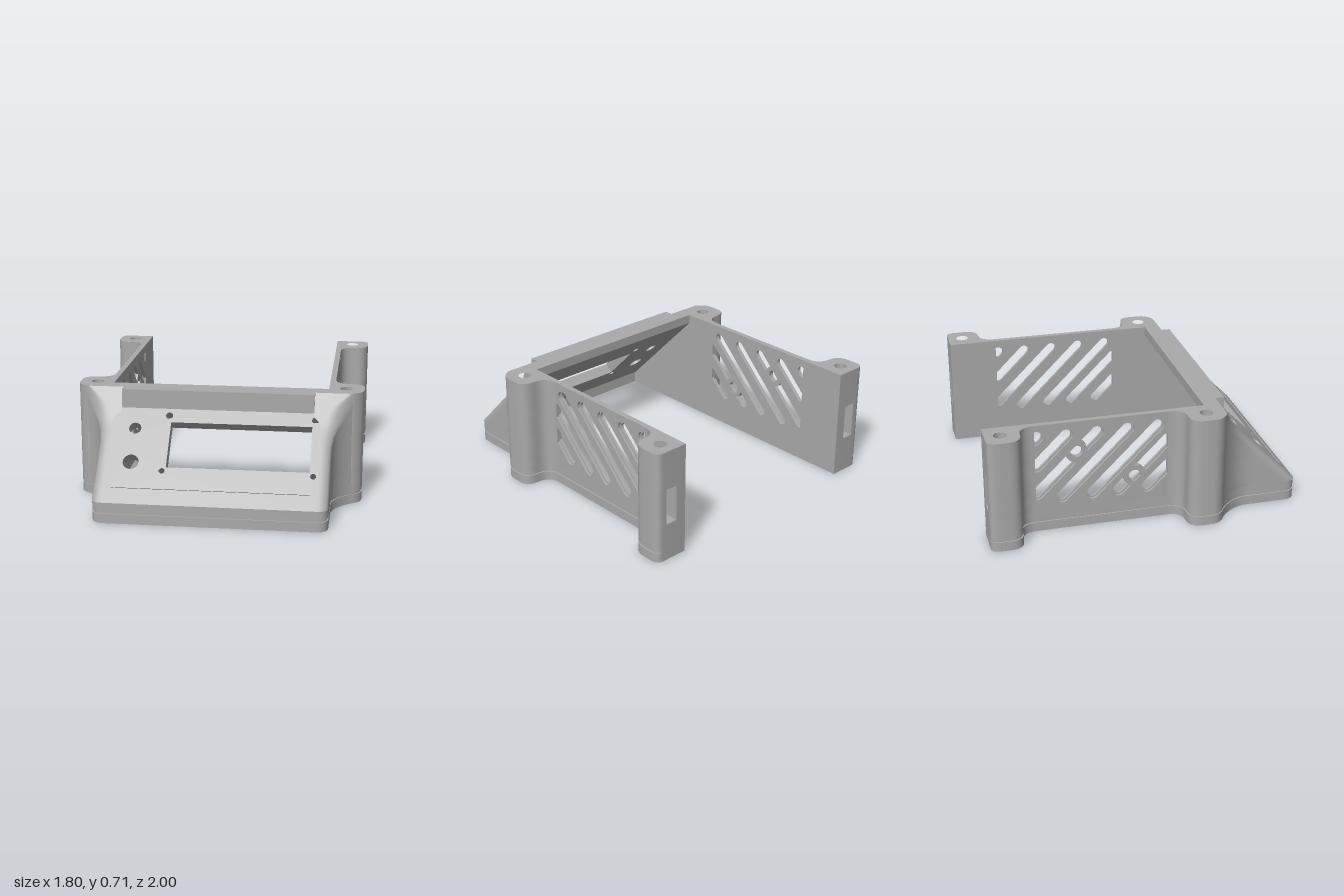
import * as THREE from 'three';
import { toCreasedNormals } from 'three/addons/utils/BufferGeometryUtils.js';

const H = 0.715, WALL_IN = 0.68, WALL_OUT = 0.715, Y0 = 0.13;
const V = (x, y) => new THREE.Vector2(x, y);

export function createModel() {
  const group = new THREE.Group();
  group.name = 'enclosureFrame';
  const grey = new THREE.MeshStandardMaterial({ color: 0xaaaaaa });
  grey.name = 'grey plastic';

  const add = (name, geo) => {
    const mesh = new THREE.Mesh(toCreasedNormals(geo, 0.6), grey);
    mesh.name = name;
    group.add(mesh);
    return mesh;
  };
  const extrude = (shape, depth) =>
    new THREE.ExtrudeGeometry(shape, { depth, bevelEnabled: false, curveSegments: 14 });
  const circle = (x, y, r) => new THREE.Path().absarc(x, y, r, 0, Math.PI * 2, true);
  // plan shape (x, z) raised from y0 to y1
  const raise = (name, shape, y0, y1) =>
    add(name, extrude(shape, y1 - y0).rotateX(Math.PI / 2).translate(0, y1, 0));
  // side shape (-z, y) extruded from x0 to x1
  const across = (name, shape, x0, x1) =>
    add(name, extrude(shape, x1 - x0).rotateY(Math.PI / 2).translate(x0, 0, 0));
  const sideShape = (zy) => new THREE.Shape(zy.map(([z, y]) => V(-z, y)));

  // half width of the flared housing, and its front edge at each height
  const flare = (z) => WALL_OUT + (z < 0.68 ? 0.115 * ((0.68 - z) / 0.205) ** 2.2 : 0);
  const frontZ = (y) => (y < 0.55 ? 1.13 - y : 0.58 - (y - 0.55) * 0.63);

  // outlines of the two corner posts; d insets the outer edge
  const frontPost = (p, d) => {
    p.quadraticCurveTo(0.9 - d, 0.44, 0.9 - d, 0.38);
    p.lineTo(0.9 - d, 0.32);
    p.quadraticCurveTo(0.9 - d, 0.235 + d, 0.81, 0.235 + d);
    p.quadraticCurveTo(WALL_OUT - d, 0.235 + d, WALL_OUT - d, 0.14);
  };
  const rearPost = (p, d, notch) => {
    p.lineTo(WALL_OUT - d, -0.69);
    p.quadraticCurveTo(WALL_OUT - d, -0.79 - d, 0.81, -0.79 - d);
    p.quadraticCurveTo(0.9 - d, -0.79 - d, 0.9 - d, -0.88);
    p.lineTo(0.9 - d, -0.94);
    p.quadraticCurveTo(0.9 - d, -1, 0.855, -1);
    if (notch) {
      p.lineTo(0.83, -1); p.lineTo(0.83, -0.9);
      p.lineTo(0.75, -0.9); p.lineTo(0.75, -1);
    }
    p.lineTo(WALL_IN, -1);
  };
  const postHoles = [[0.79, 0.355], [0.79, -0.905]];

  // U-shaped base with a groove running round it
  const basePlan = (d) => {
    const p = new THREE.Path();
    p.moveTo(0.635, 1 - d);
    p.quadraticCurveTo(WALL_OUT - d, 1 - d, WALL_OUT - d, 0.92);
    for (let i = 0; i <= 10; i++) {
      const z = 0.68 - 0.0205 * i;
      p.lineTo(flare(z) - d, z);
    }
    frontPost(p, d);
    rearPost(p, d, false);
    const right = p.getPoints(8);
    const left = right.map((q) => V(-q.x, q.y)).reverse();
    const inner = [V(WALL_IN, 0.96), V(-WALL_IN, 0.96)];
    const shape = new THREE.Shape([...right, ...inner, ...left]);
    for (const s of [1, -1]) for (const [x, z] of postHoles) shape.holes.push(circle(s * x, z, 0.04));
    return shape;
  };
  raise('baseRim', basePlan(0), 0, 0.06);
  raise('baseGroove', basePlan(0.009), 0.06, 0.074);
  raise('baseBand', basePlan(0), 0.074, Y0);

  // posts: screw holes from both ends, nut slot in the middle of the rear ones
  for (const s of [1, -1]) {
    for (const [y0, y1, solid] of [[Y0, 0.24, false], [0.24, 0.47, true], [0.47, H, false]]) {
      const front = new THREE.Path();
      front.moveTo(WALL_IN, 0.475);
      front.lineTo(flare(0.475), 0.475);
      frontPost(front, 0);
      front.lineTo(WALL_IN, 0.14);
      const rear = new THREE.Path();
      rear.moveTo(WALL_IN, -0.69);
      rearPost(rear, 0, solid);
      [front, rear].forEach((path, i) => {
        const shape = new THREE.Shape(path.getPoints(8).map((q) => V(s * q.x, q.y)));
        const [x, z] = postHoles[i];
        if (!solid) shape.holes.push(circle(s * x, z, 0.04));
        raise(i ? 'rearPost' : 'frontPost', shape, y0, y1);
      });
    }
  }

  // side walls with diagonal vents, wider on the outside
  const slots = [
    [0.14, 0.35, 0.01, 0.22], [0.14, 0.53, -0.17, 0.22], [0.075, 0.63, -0.335, 0.22],
    [-0.115, 0.63, -0.525, 0.22], [-0.305, 0.63, -0.68, 0.255], [-0.495, 0.63, -0.68, 0.445],
    [-0.675, 0.635, -0.685, 0.625],
  ];
  const slotPath = ([z0, y0, z1, y1], r) => {
    const a = Math.atan2(y1 - y0, z0 - z1), h = Math.PI / 2;
    return new THREE.Path()
      .absarc(-z1, y1, r, a - h, a + h, false)
      .absarc(-z0, y0, r, a + h, a + 3 * h, false);
  };
  for (const s of [1, -1]) {
    for (const [x0, x1, r] of [[WALL_IN, 0.698, 0.031], [0.698, WALL_OUT, 0.041]]) {
      const shape = sideShape([[-1, Y0], [0.92, Y0], [0.335, H], [-1, H]]);
      slots.forEach((slot) => shape.holes.push(slotPath(slot, r)));
      across('sideWall', shape, s > 0 ? x0 : -x1, s > 0 ? x1 : -x0);
    }
  }
  // screw bosses bridging two vents of the right wall
  for (const [z, y] of [[-0.07, 0.305], [-0.435, 0.515]]) {
    const ring = new THREE.Shape().absarc(-z, y, 0.07, 0, Math.PI * 2, false);
    ring.holes.push(circle(-z, y, 0.038));
    across('ventBoss', ring, -0.716, -0.679);
  }

  // sloping front panel with display window, control holes and screw holes
  const slope = (y) => (y - Y0) * Math.SQRT2;
  const panel = (name, hw, depth, back) => {
    const top = slope(0.6);
    const shape = new THREE.Shape([V(-hw, 0), V(hw, 0), V(hw, top), V(-hw, top)]);
    const [b, t] = [slope(0.31), slope(0.53)];
    shape.holes.push(new THREE.Path([V(-0.28, b), V(-0.28, t), V(0.592, t), V(0.592, b)]));
    for (const [x, y, r] of [[-0.5, 0.495, 0.038], [-0.5, 0.33, 0.049], [-0.295, 0.563, 0.022],
      [0.61, 0.563, 0.022], [-0.303, 0.292, 0.018], [0.615, 0.292, 0.018]]) {
      shape.holes.push(circle(x, slope(y), r));
    }
    add(name, extrude(shape, depth).translate(0, 0, back).rotateX(-Math.PI / 4).translate(0, Y0, 1));
  };
  panel('frontPanel', 0.64, 0.02, -0.02);
  panel('frontPanelBacking', WALL_IN, 0.05, -0.07);
  add('panelRidge', new THREE.BoxGeometry(1.2, 0.014, 0.012)
    .translate(0, slope(0.208), 0).rotateX(-Math.PI / 4).translate(0, Y0, 1));

  // top beam and its projecting lip
  across('topBeam', sideShape([[0.375, H], [0.375, 0.655], [0.48, 0.55], [0.515, 0.585],
    [0.52, 0.62], [0.476, H]]), -WALL_IN, WALL_IN);
  across('topLip', sideShape([[0.4, H], [0.4, 0.64], [0.48, 0.56], [0.533, 0.597], [0.533, H]]), -0.6, 0.6);

  // rounded, flared corners of the housing lofted from horizontal sections
  const rows = [Y0, 0.2, 0.3, 0.36, 0.42, 0.47, 0.51, 0.55, 0.58, 0.61, 0.64, 0.675, H];
  for (const s of [1, -1]) {
    const pos = [], index = [];
    let cols = 0;
    for (const y of rows) {
      const zf = frontZ(y), r = Math.min(0.07, zf - 0.46), w = flare(zf);
      const corner = new THREE.QuadraticBezierCurve(V(w - r, zf), V(w, zf), V(flare(zf - r), zf - r));
      const section = [V(y < 0.57 ? 0.64 : 0.6, zf), ...corner.getPoints(8)];
      for (let i = 1; i <= 14; i++) {
        const z = THREE.MathUtils.lerp(zf - r, 0.45, i / 14);
        section.push(V(flare(z), z));
      }
      cols = section.length;
      section.forEach((q) => pos.push(s * q.x, y, q.y));
    }
    for (let i = 0; i < rows.length - 1; i++) {
      for (let j = 0; j < cols - 1; j++) {
        const a = i * cols + j, b = a + 1, c = b + cols, d = a + cols;
        if (s > 0) index.push(a, b, c, a, c, d);
        else index.push(a, c, b, a, d, c);
      }
    }
    const geo = new THREE.BufferGeometry();
    geo.setAttribute('position', new THREE.Float32BufferAttribute(pos, 3));
    geo.setIndex(index);
    add(s > 0 ? 'leftHousingCorner' : 'rightHousingCorner', geo);
  }
  return group;
}
